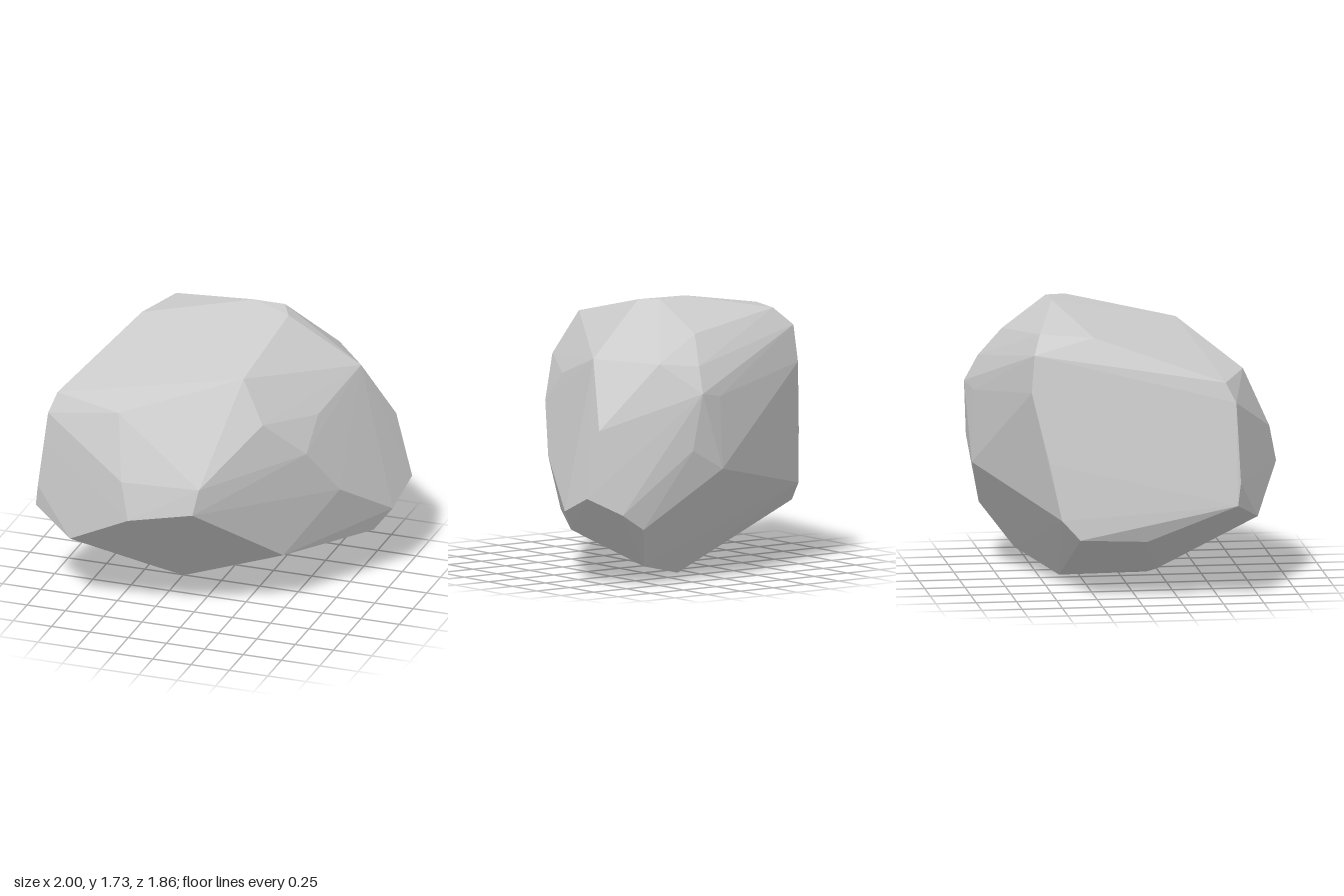
import * as THREE from 'three';
import { ConvexGeometry } from 'three/addons/geometries/ConvexGeometry.js';

// Corners of the chipped facets, grouped from the top down
const crown = [
  [-0.88, 1.36, 0.53], [-0.42, 1.36, 0.7], [-0.08, 1.45, 0.52], [0.28, 1.56, 0.38],
  [0.33, 1.71, -0.3], [0.06, 1.725, -0.42], [-0.3, 1.66, -0.33], [-0.61, 1.61, -0.25],
  [-0.5, 1.62, -0.57], [0.26, 1.72, -0.43], [-0.62, 1.51, -0.62], [0.2, 1.53, -0.71],
];
const shoulder = [
  [0.43, 1.3, 0.45], [0.65, 1.24, 0.05], [0.76, 1.39, -0.42], [0.9, 0.98, -0.67],
  [0.3, 1.19, -0.93], [0.14, 1.16, -0.89], [-0.64, 1.28, -0.64], [0.27, 1.35, -0.85],
  [0.5, 1.37, -0.75], [-0.92, 1.24, 0.59], [-0.94, 1.05, 0.6],
];
const waist = [
  [-0.98, 0.75, 0.61], [-1, 0.61, 0.59], [-0.72, 0.49, 0.75], [-0.28, 0.75, 0.925],
  [0.12, 0.82, 0.865], [0.15, 0.98, 0.83], [-0.34, 0.98, 0.875], [0.78, 0.74, 0.02],
  [0.64, 1.05, 0.24], [0.97, 0.46, -0.41], [1, 0.57, -0.68], [0.36, 0.84, -0.91],
  [0.13, 0.71, -0.905], [-0.72, 0.85, -0.54],
];
const base = [
  [0.5, 0.36, 0.27], [0.87, 0.33, -0.34], [0.8, 0.46, -0.78], [0.65, 0.36, -0.79],
  [0.5, 0.1, -0.59], [0.08, 0, -0.37], [-0.2, 0.06, 0.13], [-0.37, 0.11, 0.17],
  [-0.84, 0.37, 0.05], [-0.8, 0.38, -0.36], [-0.77, 0.5, -0.47],
];

export function createModel() {
  const points = [crown, shoulder, waist, base].flat().map((p) => new THREE.Vector3(...p));

  // Faceted boulder: one closed hull through the corners
  const rock = new THREE.Mesh(
    new ConvexGeometry(points),
    new THREE.MeshStandardMaterial({ color: 0xcccccc, flatShading: true })
  );
  rock.name = 'rock';

  const group = new THREE.Group();
  group.name = 'boulder';
  group.add(rock);
  return group;
}
